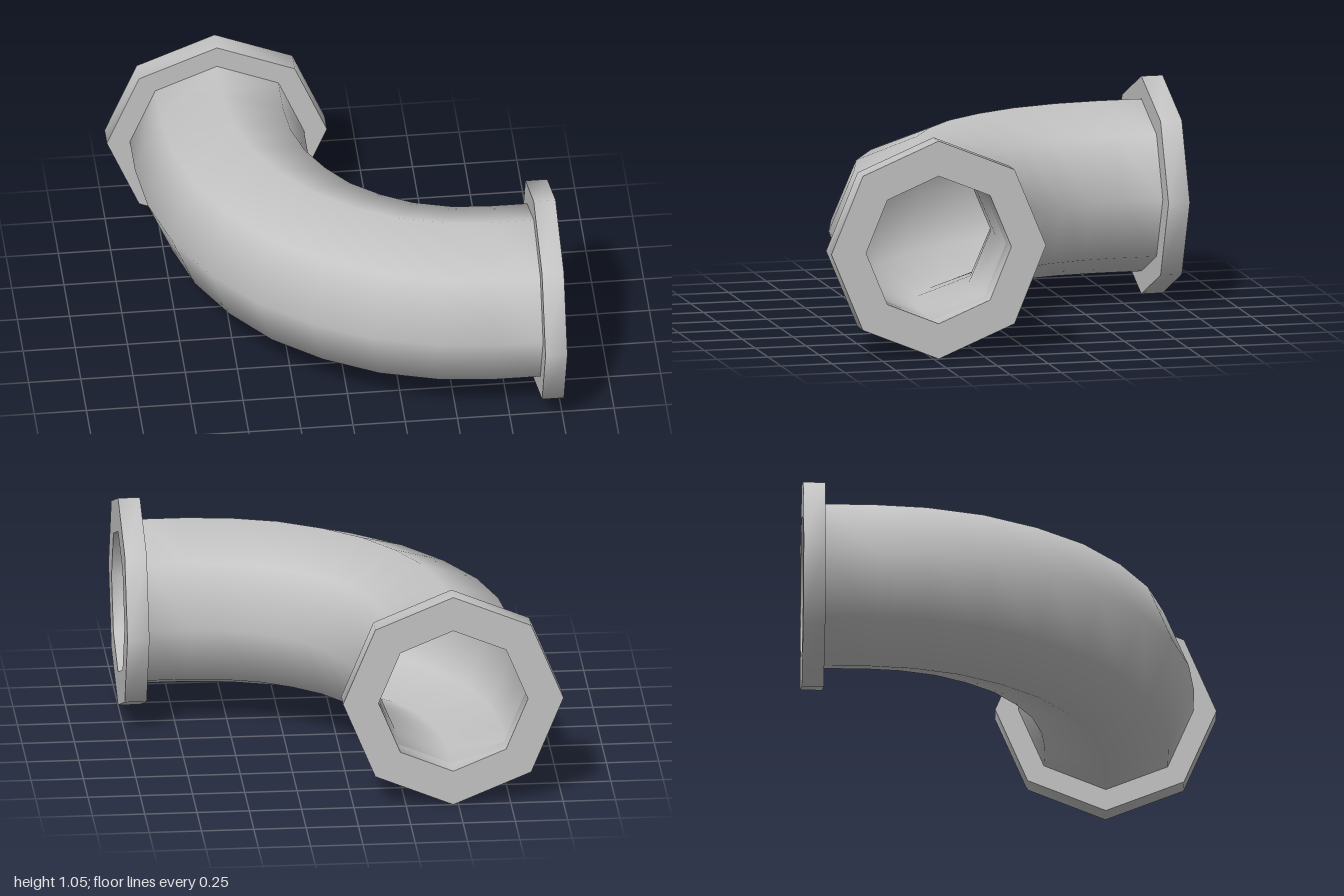
import * as THREE from 'three';
import { toCreasedNormals } from 'three/addons/utils/BufferGeometryUtils.js';

const SIDES = 8, HEIGHT = 0.527, OFFSET = 0.475;
const OUTER = 0.417, INNER = 0.357, RIM = 0.527, RIM_DEPTH = 0.105;

// centre line of the first half of the bend: x, z, turn in degrees
const half = [
  [-0.475, -0.895, 0], [-0.475, -0.682, 1.9], [-0.452, -0.468, 11.4],
  [-0.388, -0.246, 21.8], [-0.278, -0.043, 33.5],
];
const path = [
  ...half,
  [-0.136, 0.136, 45],
  ...half.map(([x, z, a]) => [-z, -x, 90 - a]).reverse(),
];

// octagonal wall swept along the path, facing outwards or inwards
function wall(radius, inward) {
  const pos = [], idx = [];
  path.forEach(([x, z, deg], i) => {
    const a = THREE.MathUtils.degToRad(deg);
    for (let j = 0; j < SIDES; j++) {
      const t = (j / SIDES) * Math.PI * 2;
      const r = radius * Math.cos(t);
      pos.push(x - r * Math.cos(a), HEIGHT + radius * Math.sin(t), z + r * Math.sin(a));
      if (i === path.length - 1) continue;
      const p = i * SIDES + j, q = i * SIDES + (j + 1) % SIDES;
      const r0 = p + SIDES, r1 = q + SIDES;
      if (inward) idx.push(p, q, r0, q, r1, r0);
      else idx.push(p, r0, q, q, r0, r1);
    }
  });
  const g = new THREE.BufferGeometry();
  g.setAttribute('position', new THREE.Float32BufferAttribute(pos, 3));
  g.setIndex(idx);
  g.computeVertexNormals();
  return g;
}

// octagonal ring with a hole, smooth round the rim and sharp at the faces
function flangeGeometry() {
  const profile = [[INNER, 0], [RIM, 0], [RIM, RIM_DEPTH], [INNER, RIM_DEPTH], [INNER, 0]]
    .map(([x, y]) => new THREE.Vector2(x, y));
  return toCreasedNormals(new THREE.LatheGeometry(profile, SIDES), Math.PI / 3);
}

export function createModel() {
  const group = new THREE.Group();
  group.name = 'pipeElbow';
  const metal = new THREE.MeshStandardMaterial({ color: 0xc4c4c4 });
  metal.name = 'grey metal';

  const add = (name, geometry) => {
    const mesh = new THREE.Mesh(geometry, metal);
    mesh.name = name;
    group.add(mesh);
    return mesh;
  };

  // bent pipe
  add('pipeOuterWall', wall(OUTER, false));
  add('pipeInnerWall', wall(INNER, true));

  // end flanges
  const back = add('backFlange', flangeGeometry());
  back.rotation.x = Math.PI / 2;
  back.position.set(-OFFSET, HEIGHT, -1);
  const side = add('sideFlange', flangeGeometry());
  side.rotation.z = -Math.PI / 2;
  side.position.set(1 - RIM_DEPTH, HEIGHT, OFFSET);

  return group;
}
